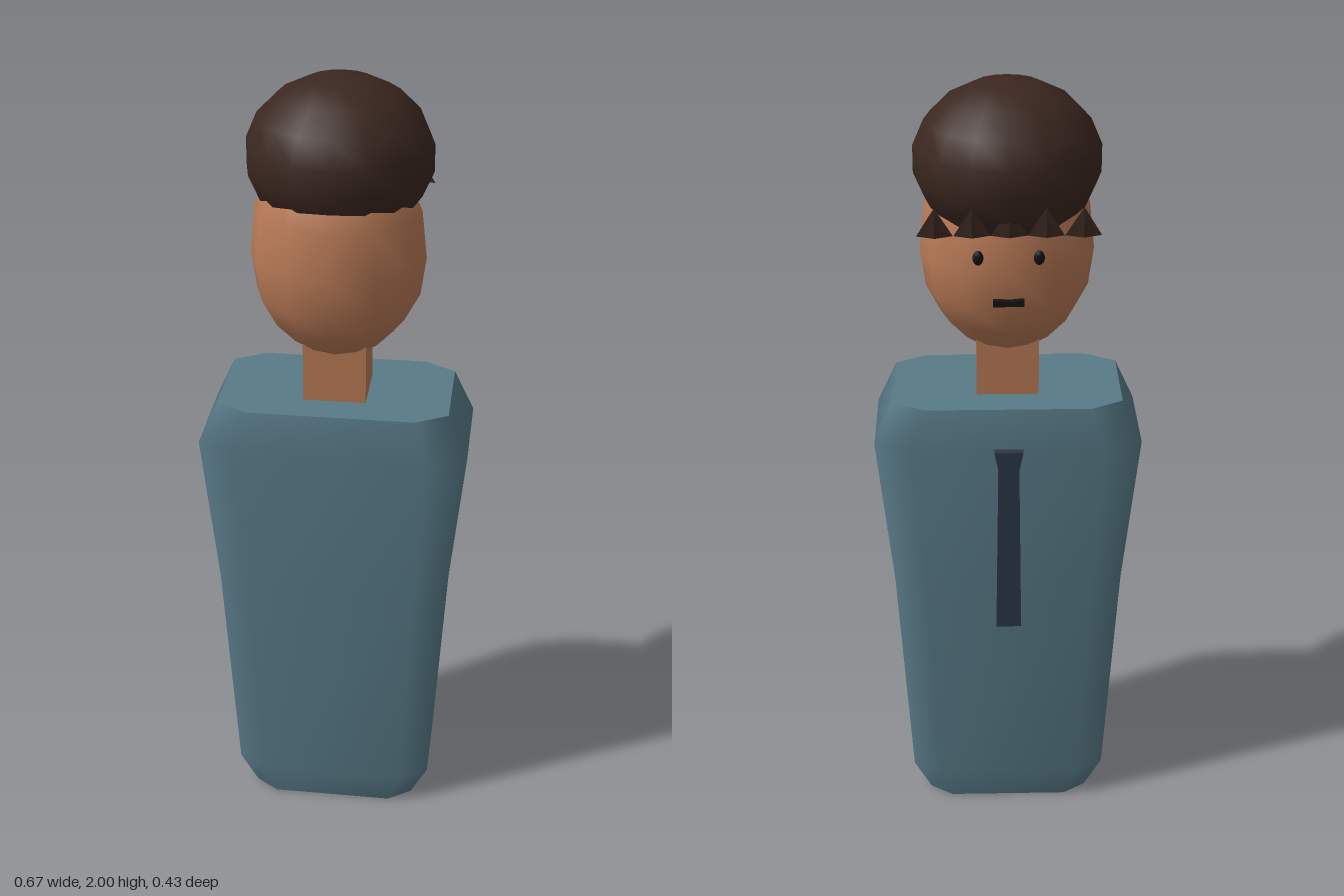
import * as THREE from 'three';

const mat = (color) => new THREE.MeshStandardMaterial({ color });
const skin = mat(0xb87a56), cloth = mat(0x587a87), hairMat = mat(0x3b2720);
const navy = mat(0x2b3646), dark = mat(0x141212);

function part(name, geometry, material, x = 0, y = 0, z = 0) {
  const mesh = new THREE.Mesh(geometry, material);
  mesh.name = name;
  mesh.position.set(x, y, z);
  return mesh;
}

// Torso: chamfered-rectangle rings [y, half width, half depth], smooth sides, crisp caps
function torsoGeometry() {
  const rings = [
    [0, 0.215, 0.143], [0.09, 0.26, 0.157], [0.7, 0.295, 0.17],
    [1.1, 0.335, 0.18], [1.21, 0.285, 0.164],
  ];
  const c = 0.725;
  const outline = [[1, -c], [1, c], [c, 1], [-c, 1], [-1, c], [-1, -c], [-c, -1], [c, -1]];
  const pos = [], idx = [], n = outline.length;
  const addRing = ([y, w, d]) => outline.forEach(([x, z]) => pos.push(x * w, y, z * d));
  rings.forEach(addRing);
  for (let r = 0; r < rings.length - 1; r++) {
    for (let i = 0; i < n; i++) {
      const a = r * n + i, b = r * n + (i + 1) % n;
      idx.push(a, a + n, b, b, a + n, b + n);
    }
  }
  const bottom = pos.length / 3;
  addRing(rings[0]);
  const top = pos.length / 3;
  addRing(rings[rings.length - 1]);
  for (let i = 1; i < n - 1; i++) {
    idx.push(bottom, bottom + i, bottom + i + 1);
    idx.push(top, top + i + 1, top + i);
  }
  const g = new THREE.BufferGeometry();
  g.setAttribute('position', new THREE.Float32BufferAttribute(pos, 3));
  g.setIndex(idx);
  g.computeVertexNormals();
  return g;
}

// Head: egg-shaped lathe, narrower toward the chin
function headGeometry() {
  const profile = [
    [0, 1.31], [0.07, 1.325], [0.115, 1.355], [0.163, 1.405], [0.2, 1.475],
    [0.213, 1.57], [0.2, 1.69], [0.16, 1.78], [0.09, 1.84], [0, 1.86],
  ].map(([x, y]) => new THREE.Vector2(x, y));
  return new THREE.LatheGeometry(profile, 12).scale(1, 1, 0.87);
}

// Necktie: knot at the top, tapering in and widening again
function tieGeometry() {
  const half = [[0.036, 1.11], [0.026, 1.06], [0.032, 0.6]];
  const pts = [...half, ...half.slice().reverse().map(([x, y]) => [-x, y])];
  const shape = new THREE.Shape(pts.map(([x, y]) => new THREE.Vector2(x, y)));
  return new THREE.ExtrudeGeometry(shape, { depth: 0.02, bevelEnabled: false });
}

export function createModel() {
  const model = new THREE.Group();
  model.name = 'figure';

  // Body; the face looks toward -z
  model.add(part('torso', torsoGeometry(), cloth, 0, 0, 0.03));
  model.add(part('neck', new THREE.BoxGeometry(0.155, 0.2, 0.155), skin, 0, 1.28, 0.032));
  model.add(part('head', headGeometry(), skin, 0, 0, 0.03));
  model.add(part('tie', tieGeometry(), navy, 0, 0, -0.174));

  // Hair cap
  const cap = new THREE.SphereGeometry(1, 16, 9).scale(0.227, 0.192, 0.214);
  model.add(part('hair', cap, hairMat, 0, 1.808, -0.005));

  // Fringe: a row of flattened three-sided spikes
  const fringe = new THREE.Group();
  fringe.name = 'fringe';
  const spike = new THREE.ConeGeometry(0.049, 0.07, 3).rotateY(Math.PI).scale(1, 1, 0.23);
  for (let i = -2; i <= 2; i++) {
    fringe.add(part('fringeSpike', spike, hairMat, i * 0.086, 1.715, -0.186));
  }
  model.add(fringe);

  // Face
  const eye = new THREE.SphereGeometry(1, 10, 8).scale(0.013, 0.018, 0.009);
  for (const s of [-1, 1]) {
    model.add(part(s > 0 ? 'leftEye' : 'rightEye', eye, dark, s * 0.072, 1.61, -0.141));
  }
  model.add(part('mouth', new THREE.BoxGeometry(0.075, 0.015, 0.016), dark, 0, 1.5, -0.15));

  return model;
}
